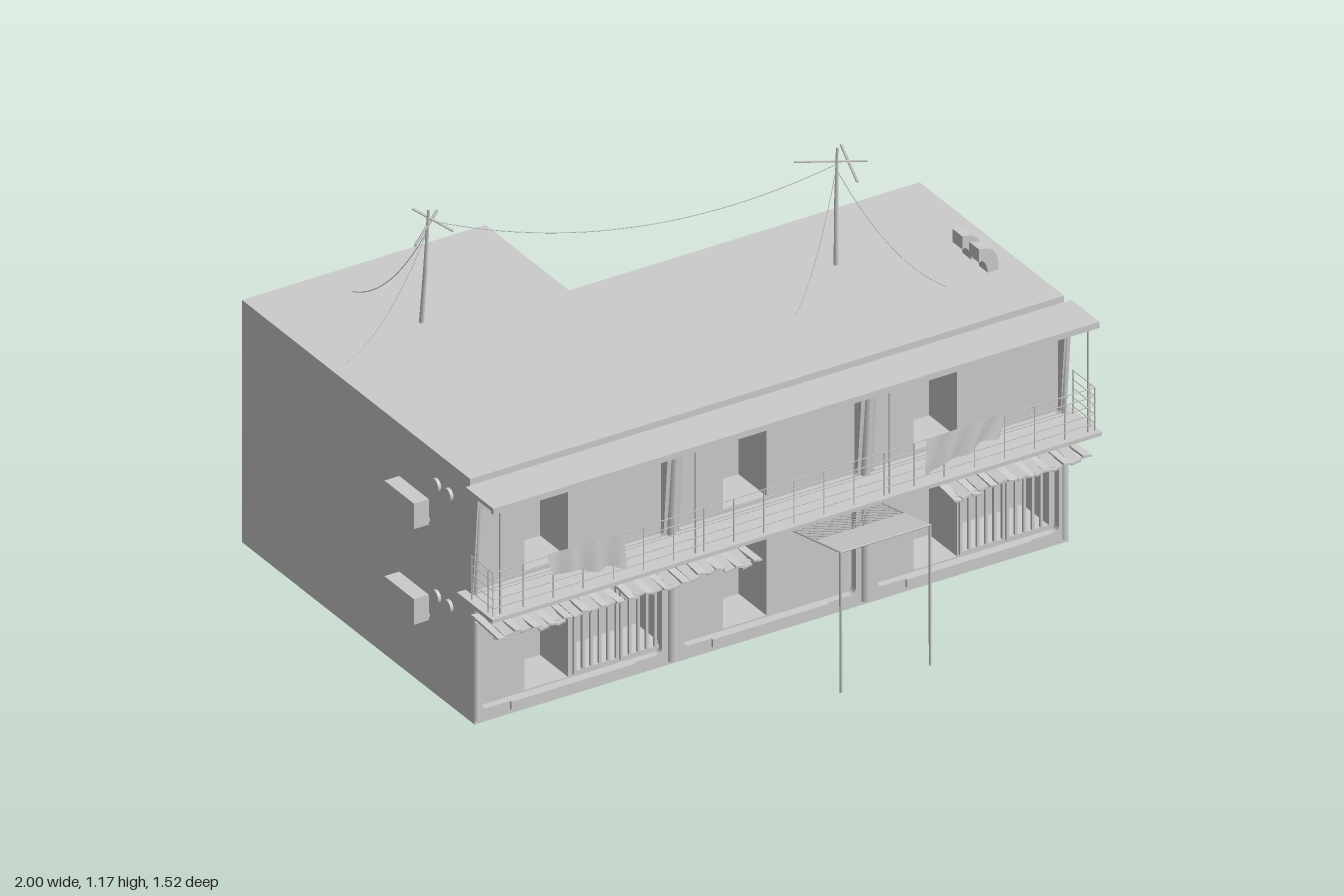
import * as THREE from 'three';

const mat = new THREE.MeshStandardMaterial({ color: 0xcccccc, side: THREE.DoubleSide });
const V = (x, y, z) => new THREE.Vector3(x, y, z);

export function createModel() {
  const root = new THREE.Group();

  const add = (name, geo, parent = root) => {
    const m = new THREE.Mesh(geo, mat);
    m.name = name;
    parent.add(m);
    return m;
  };
  const group = (name) => {
    const g = new THREE.Group();
    g.name = name;
    root.add(g);
    return g;
  };
  // box given by its limits
  const box = (name, x0, x1, y0, y1, z0, z1, parent) => {
    const m = add(name, new THREE.BoxGeometry(x1 - x0, y1 - y0, z1 - z0), parent);
    m.position.set((x0 + x1) / 2, (y0 + y1) / 2, (z0 + z1) / 2);
    return m;
  };
  // straight round rod between two points
  const rod = (name, a, b, r, parent, sides = 6, rEnd = r) => {
    const m = add(name, new THREE.CylinderGeometry(rEnd, r, a.distanceTo(b), sides), parent);
    m.position.copy(a).lerp(b, 0.5);
    m.quaternion.setFromUnitVectors(V(0, 1, 0), b.clone().sub(a).normalize());
    return m;
  };
  // rounded rectangle outline for shapes and holes
  const roundRect = (Type, x0, x1, y0, y1, r) => {
    const p = new Type();
    p.moveTo(x0 + r, y0);
    p.lineTo(x1 - r, y0);
    p.quadraticCurveTo(x1, y0, x1, y0 + r);
    p.lineTo(x1, y1 - r);
    p.quadraticCurveTo(x1, y1, x1 - r, y1);
    p.lineTo(x0 + r, y1);
    p.quadraticCurveTo(x0, y1, x0, y1 - r);
    p.lineTo(x0, y0 + r);
    p.quadraticCurveTo(x0, y0, x0 + r, y0);
    return p;
  };
  // pierced wall in the xy plane
  const wall = (name, x0, x1, y0, y1, z0, z1, holes, r) => {
    const s = roundRect(THREE.Shape, x0, x1, y0, y1, 0.0005);
    holes.forEach((h) => s.holes.push(roundRect(THREE.Path, ...h, r)));
    const g = new THREE.ExtrudeGeometry(s, { depth: z1 - z0, bevelEnabled: false, curveSegments: 4 });
    g.translate(0, 0, z0);
    return add(name, g);
  };

  // L-shaped body
  const plan = new THREE.Shape([[-0.94, -0.27], [0.975, -0.27], [0.975, 0.33], [-0.155, 0.33], [-0.155, 0.76], [-0.94, 0.76]]
    .map(([x, y]) => new THREE.Vector2(x, y)));
  const body = new THREE.ExtrudeGeometry(plan, { depth: 0.76, bevelEnabled: false });
  body.rotateX(-Math.PI / 2);
  body.translate(0, 0.04, 0);
  add('buildingBody', body);

  // front wall with door and window openings
  const doorsX = [[-0.765, -0.625], [-0.125, 0.015], [0.49, 0.63]];
  const windowsX = [[-0.61, -0.315], [0.635, 0.93]];
  const openings = [];
  doorsX.forEach(([a, b]) => openings.push([a, b, 0.46, 0.71], [a, b, 0.085, 0.35]));
  windowsX.forEach(([a, b]) => openings.push([a, b, 0.09, 0.36]));
  wall('frontWall', -0.94, 0.975, 0.04, 0.8, 0.27, 0.413, openings, 0.002);

  // facade frames around the three bays of each floor
  const bays = [[-0.925, -0.325], [-0.275, 0.3], [0.35, 0.955]];
  wall('lowerFacade', -0.94, 0.975, 0.04, 0.43, 0.413, 0.435, bays.map(([a, b]) => [a + 0.01, b - 0.01, 0.08, 0.375]), 0.02);
  const upper = wall('upperFacade', -0.94, 0.975, 0.43, 0.78, 0.413, 0.425, bays.map(([a, b]) => [a, b, 0.445, 0.72]), 0.015);
  const up = upper.geometry.attributes.position;
  for (let i = 0; i < up.count; i++) {
    if (up.getZ(i) > 0.42) up.setZ(i, 0.425 + 0.03 * (up.getY(i) - 0.43) / 0.35);
  }
  upper.geometry.computeVertexNormals();

  // pilasters, sills and door headers
  const trim = group('facadeTrim');
  [-0.93, -0.3, 0.325, 0.965].forEach((x) => {
    const outer = Math.abs(x) > 0.9;
    rod('lowerPilaster', V(x, 0.05, 0.428), V(x, 0.43, 0.428), outer ? 0.012 : 0.018, trim, 12);
    rod('upperPilaster', V(x, 0.44, 0.425), V(x, 0.775, 0.448), outer ? 0.007 : 0.014, trim, 8);
    rod('balconyPost', V(x, 0.435, 0.552), V(x, 0.78, 0.552), 0.003, trim);
  });
  bays.forEach(([a, b]) => box('baySill', a + 0.1, b - 0.1, 0.055, 0.08, 0.43, 0.442, trim));
  doorsX.forEach(([a, b]) => box('doorHeader', a, b, 0.69, 0.71, 0.4, 0.418, trim));

  // window bars
  const bars = group('windowBars');
  windowsX.forEach(([a, b]) => {
    const mid = (a + b) / 2;
    [[a, mid - 0.003], [mid + 0.003, b]].forEach(([p, q]) => {
      [0.095, 0.355].forEach((y) => box('barRail', p, q, y - 0.005, y + 0.005, 0.412, 0.42, bars));
      for (let i = 0; i <= 5; i++) {
        const x = p + 0.004 + (q - p - 0.008) * i / 5;
        box('bar', x - 0.004, x + 0.004, 0.09, 0.36, 0.412, 0.42, bars);
      }
    });
  });

  // balcony slab and roof overhang
  box('balconySlab', -0.968, 0.998, 0.43, 0.442, 0.39, 0.572);
  box('roofOverhang', -0.962, 0.992, 0.775, 0.787, 0.425, 0.568);
  box('overhangEdge', -0.962, 0.992, 0.768, 0.78, 0.556, 0.568);

  // balcony railing
  const railing = group('balconyRailing');
  for (let i = 0; i < 5; i++) {
    const y = 0.465 + i * 0.028;
    rod('frontRail', V(-0.955, y, 0.555), V(0.985, y, 0.555), 0.0018, railing, 4);
    [-0.955, 0.985].forEach((x) => rod('sideRail', V(x, y, 0.44), V(x, y, 0.555), 0.0018, railing, 4));
  }
  for (let i = 0; i <= 20; i++) {
    const x = -0.955 + 1.94 * i / 20;
    rod('baluster', V(x, 0.44, 0.555), V(x, 0.578, 0.555), 0.002, railing, 4);
  }
  [-0.955, 0.985].forEach((x) => [0.445, 0.53].forEach((z) =>
    rod('sideBaluster', V(x, 0.44, z), V(x, 0.578, z), 0.002, railing, 4)));

  // cloths hung over the railing, with soft folds and a slanting hem
  [[-0.785, -0.54, 1], [0.44, 0.685, -1]].forEach(([a, b, dir]) => {
    const g = new THREE.PlaneGeometry(1, 1, 16, 8);
    const p = g.attributes.position;
    for (let i = 0; i < p.count; i++) {
      const u = p.getX(i) + 0.5, d = 0.5 - p.getY(i);
      const s = dir > 0 ? u : 1 - u;
      const drop = 0.065 + 0.045 * s + 0.006 * Math.sin(u * 14);
      p.setXYZ(i, a + (b - a) * u + dir * 0.012 * d, 0.588 - d * drop - 0.006 * s, 0.562 + 0.007 * Math.sin(u * 20 + d * 2) * d);
    }
    g.computeVertexNormals();
    add('hangingCloth', g);
  });

  // ragged slat awnings under the balcony
  const awnings = group('slatAwnings');
  [[-0.96, -0.55], [-0.54, -0.11], [0.51, 0.95]].forEach(([a, b], k) => {
    const n = 15, w = (b - a) / n;
    for (let i = 0; i < n; i++) {
      const m = add('awningSlat', new THREE.BoxGeometry(w * 1.05, 0.006, 0.14 + 0.008 * Math.sin(i * 5.3 + k)), awnings);
      m.position.set(a + w * (i + 0.5), 0.388 + 0.006 * Math.sin(i * 0.7 + k * 2), 0.518);
      m.rotation.set(0.07 + 0.05 * Math.sin(i * 2.9 + k), 0.05 * Math.sin(i * 3.7), 0.22 * (i % 2 ? 1 : -1));
    }
    [0.47, 0.57].forEach((z) => box('awningBatten', a, b, 0.377, 0.382, z - 0.004, z + 0.004, awnings));
  });

  // entrance canopy: solid outer sheet, lattice inner part, two poles
  const canopy = group('entranceCanopy');
  const slope = (x, z) => V(x, 0.376 + (z - 0.44) * 0.2, z);
  const sheet = box('canopySheet', 0.04, 0.33, 0.425, 0.429, 0.63, 0.757, canopy);
  sheet.rotation.x = -Math.atan(0.2);
  [0.04, 0.328].forEach((x) => {
    rod('canopyPole', V(x, 0, 0.757), V(x, 0.44, 0.755), 0.004, canopy);
    rod('canopySideBeam', slope(x, 0.435), slope(x, 0.757), 0.003, canopy);
  });
  [0.44, 0.63, 0.755].forEach((z) => rod('canopyCrossBeam', slope(0.04, z), slope(0.328, z), 0.003, canopy));
  for (let i = -6; i < 12; i++) {
    const x0 = 0.04 + i * 0.024, run = 0.144;
    const t0 = Math.max(0, (0.04 - x0) / run), t1 = Math.min(1, (0.328 - x0) / run);
    if (t1 - t0 < 0.02) continue;
    const at = (t, flip) => slope(flip ? 0.368 - x0 - t * run : x0 + t * run, 0.44 + 0.19 * t);
    [false, true].forEach((f) => rod('latticeStrip', at(t0, f), at(t1, f), 0.0015, canopy, 4));
  }

  // roof poles with cross arms
  const poles = group('utilityPoles');
  const pole = (x, z, lean, arms) => {
    rod('poleShaft', V(x, 0.8, z - lean), V(x, 0.98, z), 0.007, poles, 8, 0.006);
    rod('poleTop', V(x, 0.98, z), V(x + 0.004, 1.165, z + lean / 2), 0.006, poles, 8, 0.004);
    arms.forEach(([a, b]) => rod('crossArm', V(...a), V(...b), 0.004, poles, 4));
  };
  pole(-0.59, -0.375, 0.02, [[[-0.68, 1.12, -0.285], [-0.515, 1.108, -0.435]], [[-0.6, 1.145, -0.425], [-0.515, 1.085, -0.35]]]);
  pole(0.54, -0.065, 0, [[[0.43, 1.135, -0.105], [0.63, 1.105, -0.05]], [[0.59, 1.135, -0.12], [0.565, 1.085, 0.005]]]);

  // sagging wires
  const wires = group('wires');
  const wire = (a, b, sag) => {
    const mid = a.clone().lerp(b, 0.5);
    mid.y -= sag * 2;
    add('wire', new THREE.TubeGeometry(new THREE.QuadraticBezierCurve3(a, mid, b), 24, 0.0014, 4), wires);
  };
  const topA = V(-0.585, 1.1, -0.37), topB = V(0.54, 1.1, -0.065);
  wire(V(-0.56, 1.12, -0.365), V(0.54, 1.11, -0.07), 0.105);
  wire(topA, V(-0.66, 0.8, -0.64), 0.06);
  wire(topA, V(-0.89, 0.8, -0.31), 0.06);
  wire(topB, V(0.29, 0.8, 0.12), 0.06);
  wire(topB, V(0.73, 0.8, 0.2), 0.06);

  // curved square roof vents
  [0.087, 0.172].forEach((z) => {
    const s = new THREE.Shape();
    s.moveTo(0.9, 0.79);
    s.lineTo(0.9, 0.825);
    s.quadraticCurveTo(0.895, 0.88, 0.84, 0.88);
    s.lineTo(0.84, 0.845);
    s.quadraticCurveTo(0.865, 0.84, 0.867, 0.79);
    const g = new THREE.ExtrudeGeometry(s, { depth: 0.045, bevelEnabled: false, curveSegments: 6 });
    g.translate(0, 0, z - 0.0225);
    add('roofVent', g);
    box('ventRim', 0.836, 0.842, 0.842, 0.883, z - 0.025, z + 0.025);
  });

  // side wall fittings: round vents on both ends, boxed units on one
  [0.352, 0.702].forEach((y) => {
    [0.245, 0.308].forEach((z) => {
      rod('wallVent', V(0.97, y, z), V(0.988, y, z), 0.02, root, 16);
      rod('wallVent', V(-0.935, y, z), V(-0.95, y, z), 0.02, root, 16);
    });
  });
  [0.308, 0.608].forEach((y) => {
    box('airUnit', -1, -0.952, y - 0.04, y + 0.04, 0.068, 0.22);
    [0.09, 0.2].forEach((z) => box('airUnitBracket', -0.955, -0.935, y - 0.04, y - 0.03, z - 0.006, z + 0.006));
  });

  return root;
}
